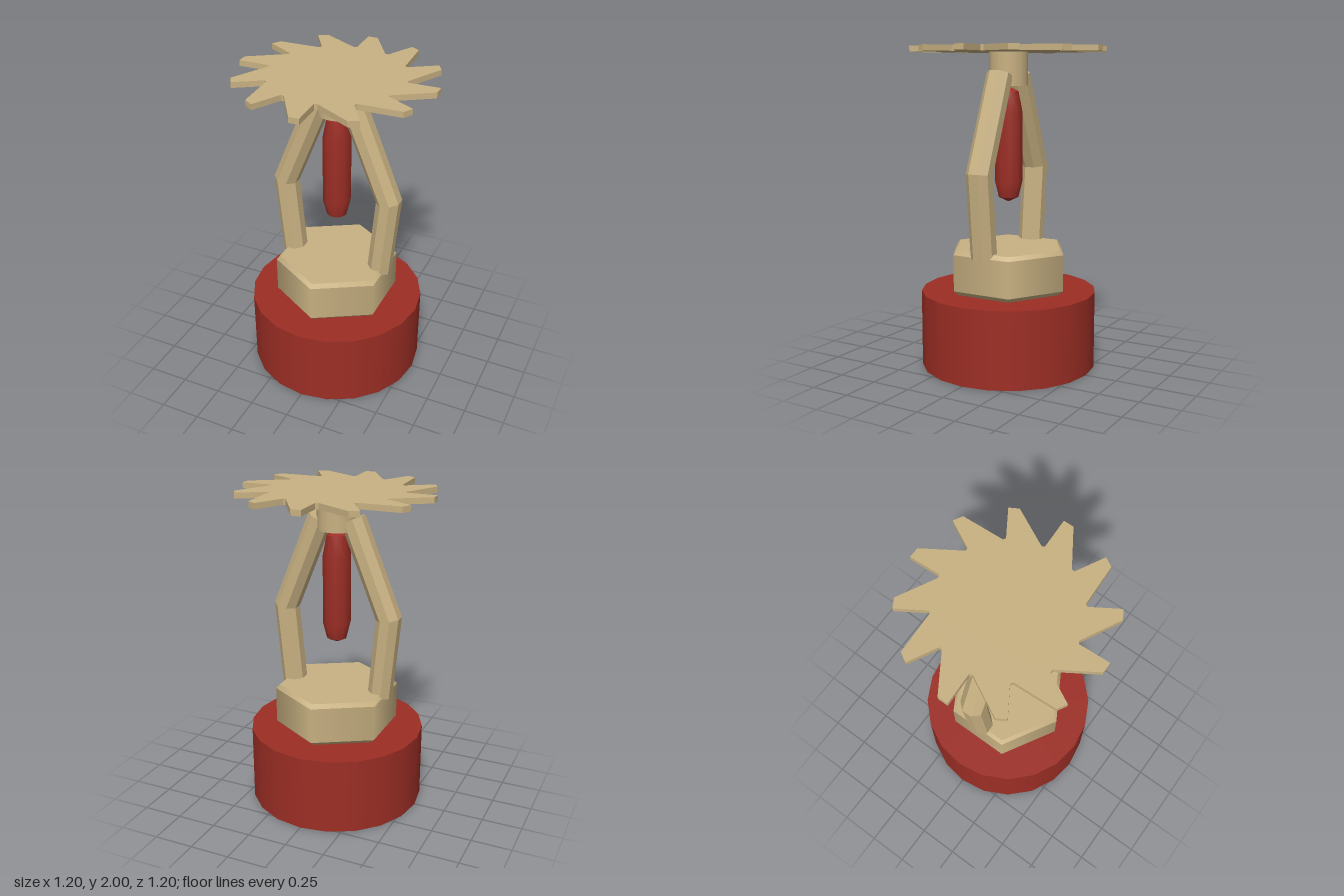
import * as THREE from 'three';

const brass = new THREE.MeshStandardMaterial({ color: 0xc8b182 });
brass.name = 'brass';
const red = new THREE.MeshStandardMaterial({ color: 0x9c2e25 });
red.name = 'red';

function add(parent, name, geometry, material) {
  const mesh = new THREE.Mesh(geometry, material);
  mesh.name = name;
  parent.add(mesh);
  return mesh;
}

const points = (list) => list.map(([x, y]) => new THREE.Vector2(x, y));

// Bent octagonal bar: a cylinder whose rings follow a mitred path
function armGeometry(side) {
  const path = points([[0.296, 0.73], [0.344, 1.24], [0.105, 1.829]]);
  path.forEach((p) => { p.x *= side; });
  const across = path.map((p, i) => {
    const a = path[Math.max(i - 1, 0)], b = path[Math.min(i + 1, 2)];
    const before = p.clone().sub(a).normalize(), after = b.clone().sub(p).normalize();
    const dir = before.clone().add(after).normalize();
    const stretch = i === 1 ? 1 / dir.dot(after) : 1;
    return new THREE.Vector2(dir.y, -dir.x).multiplyScalar(stretch);
  });
  const geo = new THREE.CylinderGeometry(1, 1, 2, 8, 2).rotateY(Math.PI / 8);
  const pos = geo.attributes.position;
  const apothem = Math.cos(Math.PI / 8);
  for (let k = 0; k < pos.count; k++) {
    const ring = Math.round(pos.getY(k)) + 1;
    const offset = pos.getX(k) / apothem * 0.071;
    const c = path[ring], n = across[ring];
    pos.setXYZ(k, c.x + n.x * offset, c.y + n.y * offset, pos.getZ(k) / apothem * 0.076);
  }
  const flat = geo.toNonIndexed();
  flat.computeVertexNormals();
  return flat;
}

// Toothed disc outline: twelve slanted teeth
function deflectorGeometry() {
  const tooth = [[0.414, -7.6], [0.603, -6], [0.6, 0], [0.408, 20]];
  const outline = [];
  for (let i = 0; i < 12; i++) {
    for (const [r, degrees] of tooth) {
      const a = THREE.MathUtils.degToRad(degrees + i * 30);
      outline.push(new THREE.Vector2(r * Math.cos(a), r * Math.sin(a)));
    }
  }
  return new THREE.ExtrudeGeometry(new THREE.Shape(outline), { depth: 0.035, bevelEnabled: false })
    .rotateX(Math.PI / 2).translate(0, 2, 0);
}

export function createModel() {
  const group = new THREE.Group();
  group.name = 'sprinklerHead';

  // Pipe end
  add(group, 'pipeBase', new THREE.CylinderGeometry(0.55, 0.55, 0.48, 20).translate(0, 0.24, 0), red);

  // Chamfered hexagonal nut; repeated points keep the caps flat
  add(group, 'hexNut', new THREE.LatheGeometry(points([
    [0, 0.48], [0.355, 0.48], [0.355, 0.48], [0.388, 0.508], [0.388, 0.508],
    [0.388, 0.735], [0.388, 0.735], [0.365, 0.76], [0.365, 0.76], [0, 0.76],
  ]), 6), brass);

  // Frame arms
  add(group, 'leftArm', armGeometry(1), brass);
  add(group, 'rightArm', armGeometry(-1), brass);

  // Heat-sensitive bulb
  add(group, 'bulb', new THREE.LatheGeometry(points([
    [0, 1.04], [0.063, 1.07], [0.063, 1.07], [0.088, 1.17],
    [0.088, 1.6], [0.063, 1.726], [0.063, 1.726], [0, 1.758],
  ]), 10).rotateY(Math.PI / 2), red);

  // Hub and toothed deflector plate
  add(group, 'hub', new THREE.CylinderGeometry(0.12, 0.12, 0.21, 16).translate(0, 1.865, 0), brass);
  add(group, 'deflector', deflectorGeometry(), brass);

  return group;
}
